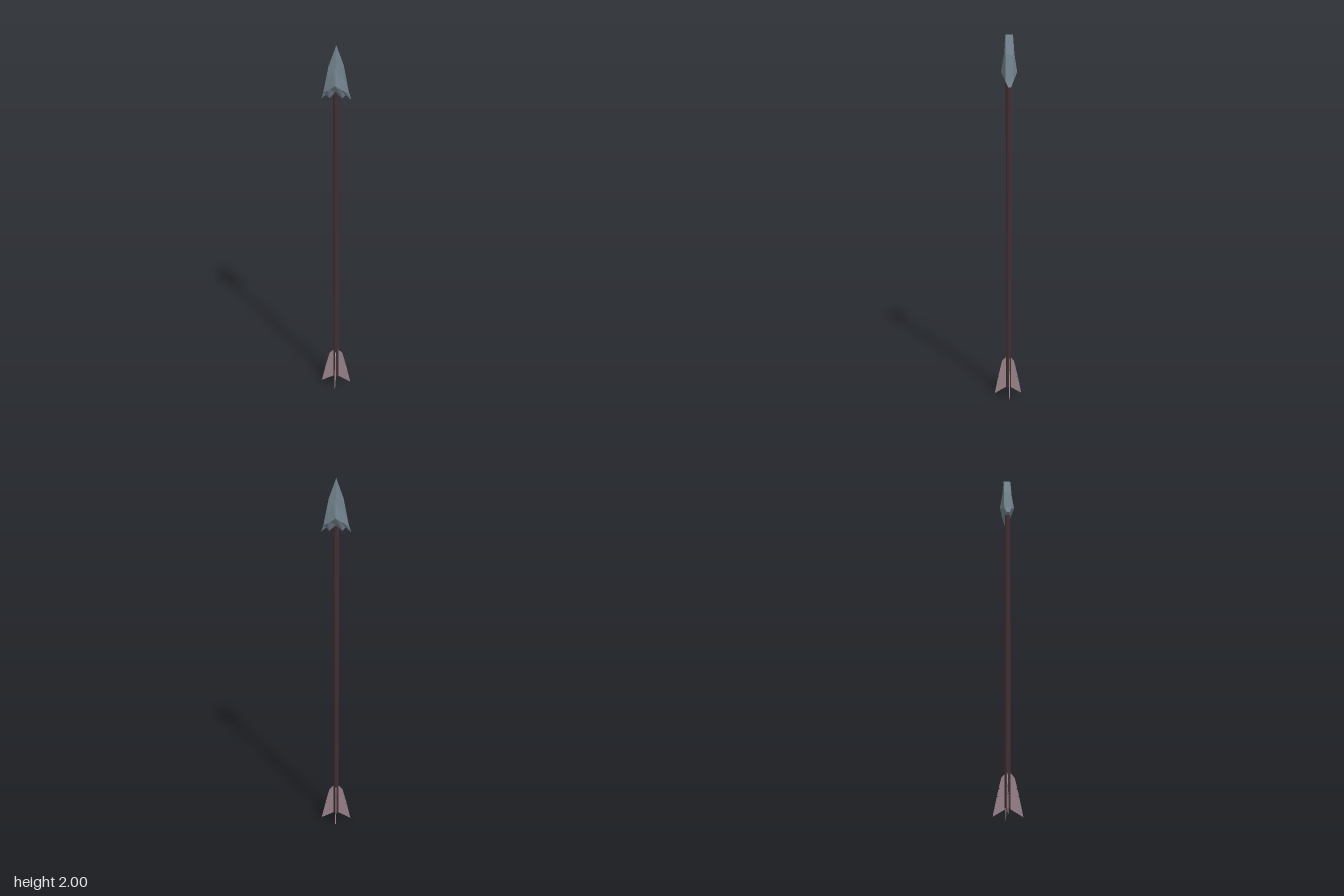
import * as THREE from 'three';

const mat = (color) => new THREE.MeshStandardMaterial({ color, flatShading: true, side: THREE.DoubleSide });

// Arrowhead: rings of points around the blade, thick edges and a ridge on each face
function headGeometry() {
  const fractions = [0, 0.45, 0.65, 1];
  // half width, ridge depth, edge depth, heights at each fraction of the width
  const rings = [
    [0, 0.02, 0.02, [2, 2, 2, 2]],
    [0.037, 0.028, 0.021, [1.9, 1.9, 1.9, 1.9]],
    [0.063, 0.042, 0.021, [1.81, 1.79, 1.782, 1.77]],
    [0.075, 0.015, 0.008, [1.77, 1.74, 1.757, 1.735]],
  ];
  const loops = rings.map(([w, ridge, edge, ys]) => {
    const quarter = fractions.map((f, i) => [f * w, ys[i], ridge + (edge - ridge) * f]);
    const right = [...quarter, ...quarter.map(([x, y, z]) => [x, y, -z]).reverse()];
    const left = right.slice(1, -1).map(([x, y, z]) => [-x, y, z]).reverse();
    return [...right, ...left];
  });
  const n = loops[0].length;
  const pos = [];
  const quad = (a, b, c, d) => pos.push(...a, ...b, ...c, ...a, ...c, ...d);
  for (let r = 0; r < loops.length - 1; r++) {
    for (let i = 0; i < n; i++) {
      const j = (i + 1) % n;
      quad(loops[r][i], loops[r + 1][i], loops[r + 1][j], loops[r][j]);
    }
  }
  // Underside strip between the front and back of the barbs
  const low = loops[loops.length - 1];
  for (let i = 0; i < 3; i++) {
    quad(low[i], low[7 - i], low[6 - i], low[i + 1]);
    const a = (n - i) % n, b = n - i - 1;
    quad(low[b], low[8 + i], low[7 + i], low[a]);
  }
  const g = new THREE.BufferGeometry();
  g.setAttribute('position', new THREE.Float32BufferAttribute(pos, 3));
  g.computeVertexNormals();
  return g;
}

// One feather vane with two small nicks in its outer edge
function vaneGeometry(reach) {
  const s = reach / 0.085;
  const outline = [
    [0, 0.045], [0.085, 0.005], [0.063, 0.098], [0.05, 0.1], [0.062, 0.104],
    [0.053, 0.138], [0.042, 0.14], [0.052, 0.144], [0.038, 0.195], [0.018, 0.217], [0, 0.217],
  ].map(([x, y]) => new THREE.Vector2(x * s, y === 0.005 ? 0 : y));
  const g = new THREE.ExtrudeGeometry(new THREE.Shape(outline), { depth: 0.004, bevelEnabled: false });
  return g.translate(0, 0, -0.002);
}

export function createModel() {
  const arrow = new THREE.Group();
  arrow.name = 'arrow';

  const head = new THREE.Mesh(headGeometry(), mat(0x73848e));
  head.name = 'arrowhead';
  head.position.z = -0.006;
  arrow.add(head);

  const shaft = new THREE.Mesh(new THREE.CylinderGeometry(0.016, 0.016, 1.755, 8), mat(0x422f33));
  shaft.name = 'shaft';
  shaft.position.set(0, 0.04 + 1.755 / 2, -0.003);
  shaft.rotation.y = Math.PI / 8;
  arrow.add(shaft);

  // Four vanes around the tail
  const fletching = new THREE.Group();
  fletching.name = 'fletching';
  const vaneMaterial = mat(0x9a848b);
  for (let i = 0; i < 4; i++) {
    const vane = new THREE.Mesh(vaneGeometry(i % 2 ? 0.076 : 0.085), vaneMaterial);
    vane.name = 'vane';
    vane.rotation.y = (i * Math.PI) / 2;
    vane.position.z = i % 2 ? 0 : -0.006;
    fletching.add(vane);
  }
  arrow.add(fletching);
  return arrow;
}
